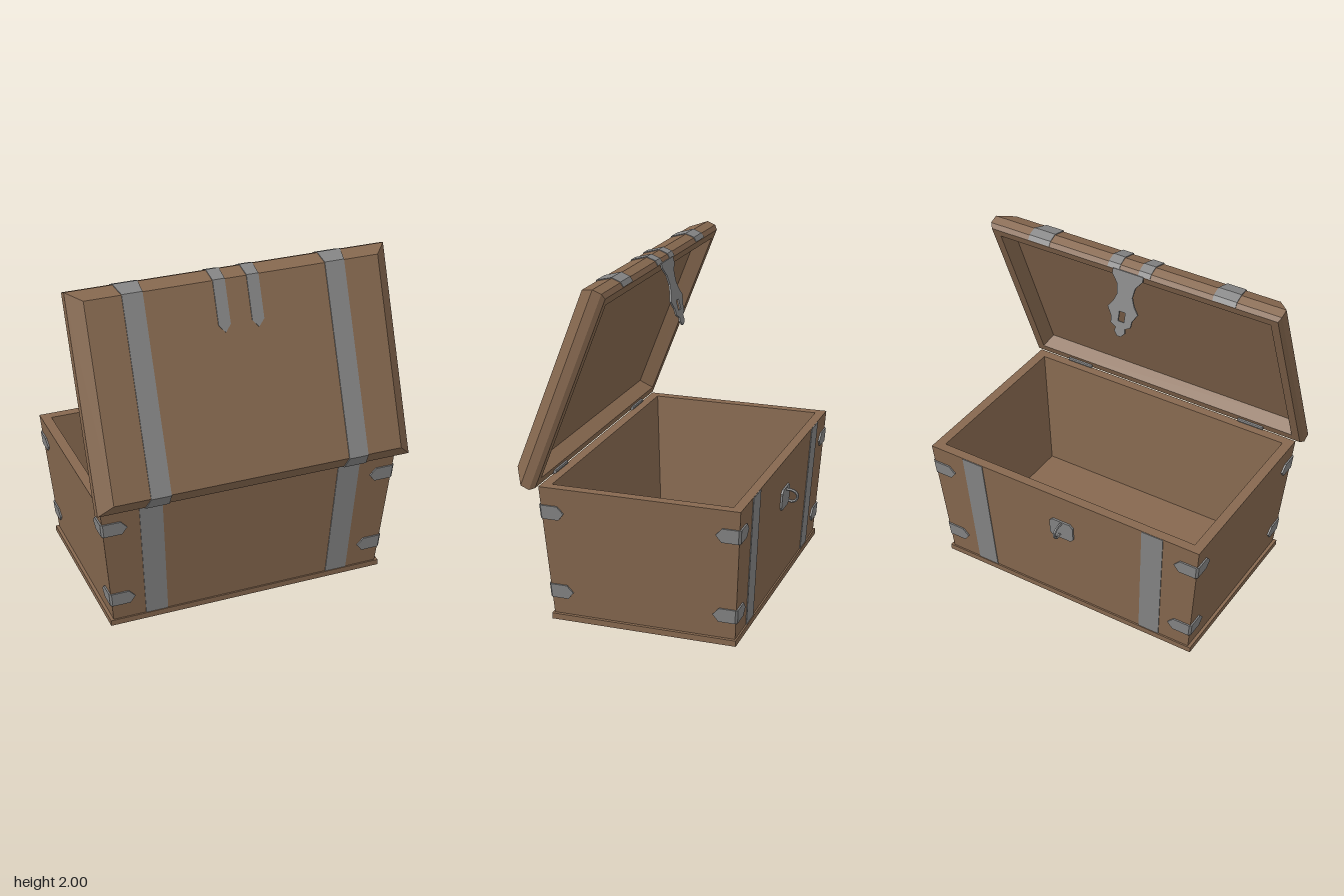
import * as THREE from 'three';

const wood = new THREE.MeshStandardMaterial({ color: 0x86684f, flatShading: true, side: THREE.DoubleSide });
const metal = new THREE.MeshStandardMaterial({ color: 0x858585, flatShading: true, side: THREE.DoubleSide });
const V = (x, y, z) => new THREE.Vector3(x, y, z);

function add(parent, name, geometry, material) {
  const mesh = new THREE.Mesh(geometry, material);
  mesh.name = name;
  parent.add(mesh);
  return mesh;
}

function fromQuads(quads) {
  const pos = [];
  for (const [a, b, c, d] of quads) for (const p of [a, b, c, a, c, d]) pos.push(p.x, p.y, p.z);
  const g = new THREE.BufferGeometry();
  g.setAttribute('position', new THREE.Float32BufferAttribute(pos, 3));
  g.computeVertexNormals();
  return g;
}

// Loft through rectangular rings [halfWidth, zBack, zFront, y], capped at both ends
function ringLoft(rings) {
  const loops = rings.map(([x, z0, z1, y]) => [V(-x, y, z1), V(x, y, z1), V(x, y, z0), V(-x, y, z0)]);
  const quads = [[...loops[0]].reverse(), loops[loops.length - 1]];
  for (let i = 0; i + 1 < loops.length; i++) {
    for (let j = 0; j < 4; j++) {
      const k = (j + 1) % 4;
      quads.push([loops[i][j], loops[i][k], loops[i + 1][k], loops[i + 1][j]]);
    }
  }
  return fromQuads(quads);
}

// Bent metal strip through pairs of edge points, with its sides turned inward
function strip(pairs, across, depth = 0.012) {
  const mid = pairs.map(([a, b]) => a.clone().add(b).multiplyScalar(0.5));
  const rows = pairs.map(([a, b], i) => {
    const tangent = mid[Math.min(i + 1, mid.length - 1)].clone().sub(mid[Math.max(i - 1, 0)]);
    const sink = across.clone().cross(tangent).normalize().multiplyScalar(-depth);
    return [a.clone().add(sink), a, b, b.clone().add(sink)];
  });
  const quads = [rows[0], [...rows[rows.length - 1]].reverse()];
  for (let i = 0; i + 1 < rows.length; i++) {
    for (let j = 0; j < 3; j++) quads.push([rows[i][j], rows[i][j + 1], rows[i + 1][j + 1], rows[i + 1][j]]);
  }
  return fromQuads(quads);
}

function plate(points, depth, hole) {
  const shape = new THREE.Shape(points.map(([x, y]) => new THREE.Vector2(x, y)));
  if (hole) shape.holes.push(new THREE.Path(hole.map(([x, y]) => new THREE.Vector2(x, y))));
  return new THREE.ExtrudeGeometry(shape, { depth, bevelEnabled: false }).translate(0, 0, -depth / 2);
}

// Half sizes of the tapered box at height y
const halfX = (y) => 0.845 + (y - 0.035) * 0.0943;
const halfZ = (y) => 0.545 + (y - 0.035) * 0.06;

function createBox() {
  const box = new THREE.Group();
  box.name = 'box';
  box.position.z = -0.0375;

  add(box, 'plinth', new THREE.BoxGeometry(1.73, 0.035, 1.11).translate(0, 0.0175, 0), wood);
  add(box, 'boxWalls', ringLoft([
    [0.845, -0.545, 0.545, 0.03], [0.92, -0.593, 0.593, 0.83],
    [0.86, -0.535, 0.535, 0.83], [0.795, -0.492, 0.492, 0.06],
  ]), wood);

  // Upright straps and corner brackets, mirrored to all four quarters
  const band = strip([[0.035, 0.51, 0.645], [0.828, 0.55, 0.69]].map(([y, a, b]) =>
    [V(a, y, halfZ(y) + 0.005), V(b, y, halfZ(y) + 0.005)]), V(1, 0, 0));
  const out = 0.01;
  const bracket = (y) => {
    const side = (h, d) => V(halfX(y + h) + out, y + h, halfZ(y + h) + out - d);
    const front = (h, d) => V(halfX(y + h) + out - d, y + h, halfZ(y + h) + out);
    const h = 0.042;
    return strip([
      [side(0, 0.145), side(0, 0.145)], [side(-h, 0.11), side(h, 0.11)],
      [side(-h, 0.012), side(h, 0.012)], [front(-h, 0.012), front(h, 0.012)],
      [front(-h, 0.12), front(h, 0.12)], [front(0, 0.155), front(0, 0.155)],
    ], V(0, 1, 0));
  };
  const lowBracket = bracket(0.18), highBracket = bracket(0.678);
  for (const sx of [1, -1]) {
    for (const sz of [1, -1]) {
      const quarter = new THREE.Group();
      quarter.name = 'quarterFittings';
      quarter.scale.set(sx, 1, sz);
      add(quarter, 'boxStrap', band, metal);
      add(quarter, 'lowerCornerBracket', lowBracket, metal);
      add(quarter, 'upperCornerBracket', highBracket, metal);
      box.add(quarter);
    }
  }

  // Lock plate with its bent staple, on the opening side
  const lock = new THREE.Group();
  lock.name = 'lock';
  lock.position.set(0, 0.58, -halfZ(0.58) - 0.004);
  lock.rotation.x = -0.06;
  add(lock, 'lockPlate', plate([
    [-0.08, -0.045], [-0.06, -0.065], [0.06, -0.065], [0.08, -0.045],
    [0.08, 0.045], [0.06, 0.065], [-0.06, 0.065], [-0.08, 0.045],
  ], 0.016), metal);
  const hook = new THREE.CatmullRomCurve3([
    V(0, 0.05, 0), V(0, 0.05, -0.04), V(0, 0.038, -0.068), V(0, 0.015, -0.078),
    V(0, -0.01, -0.068), V(0, -0.021, -0.045), V(0, -0.016, -0.025),
  ]);
  add(lock, 'staple', new THREE.TubeGeometry(hook, 16, 0.009, 6), metal);
  box.add(lock);
  return box;
}

// Lid modelled closed, with its hinge edge at the origin, then swung open
function createLid() {
  const lid = new THREE.Group();
  lid.name = 'lid';
  lid.position.set(0, 0.838, 0.56);
  lid.rotation.x = 1.196;

  add(lid, 'lidShell', ringLoft([
    [0.87, -1.13, -0.055, 0.09], [0.895, -1.145, -0.04, 0],
    [0.945, -1.195, 0.01, 0], [0.96, -1.215, 0.03, 0.025],
    [0.96, -1.215, 0.03, 0.08], [0.88, -1.157, -0.025, 0.157],
  ]), wood);

  // Straps as [y, z, inner x, outer x]
  const strap = (rows) => strip(rows.map(([y, z, a, b]) => [V(a, y, z), V(b, y, z)]), V(1, 0, 0));
  const longStrap = strap([
    [0, 0.016, 0.54, 0.69], [0.025, 0.036, 0.54, 0.685], [0.082, 0.036, 0.54, 0.68],
    [0.163, -0.022, 0.545, 0.665], [0.163, -1.16, 0.545, 0.665],
    [0.082, -1.219, 0.54, 0.685], [0.025, -1.219, 0.54, 0.685], [0, -1.2, 0.54, 0.685],
  ]);
  const shortStrap = strap([
    [0.163, -0.862, 0.1, 0.1], [0.163, -0.905, 0.065, 0.137], [0.163, -1.16, 0.065, 0.137],
    [0.082, -1.219, 0.062, 0.14], [0.025, -1.219, 0.062, 0.14], [0, -1.2, 0.062, 0.14],
  ]);
  for (const s of [1, -1]) {
    add(lid, 'lidStrap', longStrap, metal).scale.x = s;
    add(lid, 'claspStrap', shortStrap, metal).scale.x = s;
  }
  return lid;
}

export function createModel() {
  const chest = new THREE.Group();
  chest.name = 'chest';
  chest.add(createBox(), createLid());

  // Hinge barrels between box and lid
  for (const s of [1, -1]) {
    const barrel = new THREE.CylinderGeometry(0.012, 0.012, 0.17, 8).rotateZ(Math.PI / 2);
    add(chest, 'hinge', barrel, metal).position.set(0.615 * s, 0.842, 0.552);
  }

  // Hasp hanging from the lid's free edge, with a slot for the staple
  const half = [[0.1, 0], [0.1, -0.03], [0.06, -0.08], [0.05, -0.14], [0.07, -0.19], [0.1, -0.23],
    [0.07, -0.28], [0.065, -0.32], [0.03, -0.34], [0.035, -0.365], [0.012, -0.39]];
  const outline = [...half, ...half.map(([x, y]) => [-x, y]).reverse()];
  const slot = [[-0.02, -0.24], [0.02, -0.24], [0.02, -0.3], [-0.02, -0.3]];
  const hasp = add(chest, 'hasp', plate(outline, 0.01, slot), metal);
  hasp.position.set(0, 1.957, 0.12);
  hasp.rotation.x = 0.257;
  return chest;
}
